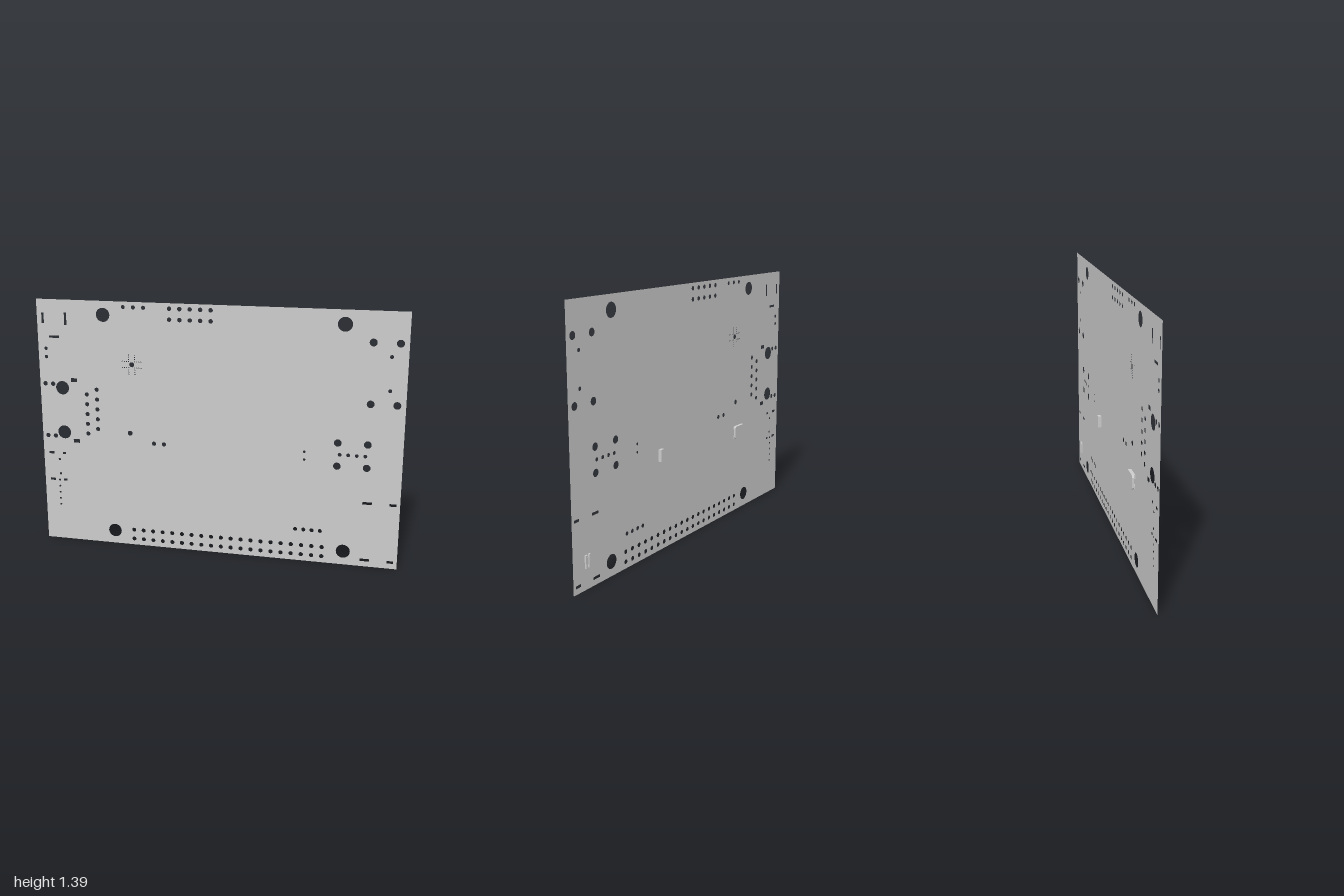
import * as THREE from 'three';

const W = 2, H = 1.39, FACE = 0.009; // board size and its z position

export function createModel() {
  const model = new THREE.Group();
  const grey = new THREE.MeshStandardMaterial({ color: 0xcccccc, flatShading: true });
  const sheet = new THREE.MeshStandardMaterial({ color: 0xcccccc, side: THREE.DoubleSide });

  // board outline
  const board = new THREE.Shape([
    new THREE.Vector2(-W / 2, 0), new THREE.Vector2(W / 2, 0),
    new THREE.Vector2(W / 2, H), new THREE.Vector2(-W / 2, H),
  ]);
  const hole = (x, y, r, n = 14) => {
    const pts = [];
    for (let i = 0; i < n; i++) {
      const a = -i * 2 * Math.PI / n;
      pts.push(new THREE.Vector2(x + r * Math.cos(a), y + r * Math.sin(a)));
    }
    board.holes.push(new THREE.Path(pts));
  };
  const slot = (x, y, w, h) => board.holes.push(new THREE.Path([
    new THREE.Vector2(x - w / 2, y - h / 2), new THREE.Vector2(x - w / 2, y + h / 2),
    new THREE.Vector2(x + w / 2, y + h / 2), new THREE.Vector2(x + w / 2, y - h / 2),
  ]));
  const row = (x, y, n, dx, dy, r) => {
    for (let i = 0; i < n; i++) hole(x + i * dx, y + i * dy, r);
  };

  // mounting holes
  [[-0.62, 1.315], [0.675, 1.315], [-0.588, 0.077], [0.71, 0.077], [-0.87, 0.9], [-0.87, 0.645]]
    .forEach(([x, y]) => hole(x, y, 0.038, 28));

  // connector anchor holes
  for (const x of [0.82, 0.955]) for (const y of [1.228, 0.906]) hole(x, y, 0.02, 20);
  for (const x of [0.66, 0.816]) for (const y of [0.687, 0.559]) hole(x, y, 0.02, 20);

  // pin header rows
  row(-0.475, 0.09, 20, 0.0563, 0, 0.012);
  row(-0.475, 0.036, 20, 0.0563, 0, 0.012);
  row(0.447, 0.183, 4, 0.045, 0, 0.011);
  row(-0.25, 1.361, 5, 0.0563, 0, 0.012);
  row(-0.25, 1.303, 5, 0.0563, 0, 0.012);
  row(-0.505, 1.361, 3, 0.0563, 0, 0.011);
  row(-0.729, 0.87, 5, 0, -0.0563, 0.012);
  row(-0.67, 0.9, 5, 0, -0.0563, 0.012);
  row(0.672, 0.623, 4, 0.0447, 0, 0.01);

  // single and paired pin holes
  for (const y of [0.92, 0.62]) row(-0.97, y, 2, 0.045, 0, 0.013);
  hole(-0.483, 0.663, 0.014);
  row(-0.347, 0.612, 2, 0.057, 0, 0.012);
  row(-0.956, 1.118, 2, 0, -0.046, 0.01);
  row(0.915, 1.158, 2, 0, -0.177, 0.01);
  row(0.485, 0.626, 2, 0, -0.043, 0.007);
  hole(-0.908, 0.481, 0.007);
  hole(-0.905, 0.396, 0.007);
  row(-0.913, 0.357, 5, 0, -0.037, 0.006);

  // slots
  slot(-0.967, 1.286, 0.013, 0.058);
  slot(-0.836, 1.286, 0.013, 0.07);
  slot(-0.905, 1.185, 0.058, 0.013);
  for (const y of [0.947, 0.597]) slot(-0.8, y, 0.036, 0.021);
  for (const y of [0.519, 0.36]) {
    slot(-0.954, y, 0.03, 0.014);
    slot(-0.878, y, 0.02, 0.012);
  }
  for (const y of [0.363, 0.037]) {
    slot(0.827, y, 0.05, 0.014);
    slot(0.963, y, 0.036, 0.014);
  }

  // crossed rows of fine vias round one thermal hole
  hole(-0.464, 1.05, 0.014);
  const steps = [0.017, 0.029, 0.041, 0.053];
  for (const sx of [-1, 1]) for (const sy of [-1, 1]) steps.forEach((t, i) => {
    hole(-0.464 + sx * 0.017, 1.05 + sy * t, 0.003, 6);
    if (i > 0) hole(-0.464 + sx * t, 1.05 + sy * 0.017, 0.003, 6);
  });

  const panel = new THREE.Mesh(new THREE.ShapeGeometry(board), sheet);
  panel.name = 'board';
  panel.position.z = FACE;
  model.add(panel);

  // box given by its x, y and z limits
  const block = (parent, name, x0, x1, y0, y1, z0, z1) => {
    const mesh = new THREE.Mesh(new THREE.BoxGeometry(x1 - x0, y1 - y0, z1 - z0), grey);
    mesh.position.set((x0 + x1) / 2, (y0 + y1) / 2, (z0 + z1) / 2);
    mesh.name = name;
    parent.add(mesh);
  };
  const part = (name) => {
    const g = new THREE.Group();
    g.name = name;
    model.add(g);
    return g;
  };

  // tall narrow component on the back
  block(part('narrowComponent'), 'narrowBody', 0.275, 0.302, 0.49, 0.555, -FACE, FACE);

  // wide component: chamfered body on two rails
  const wide = part('wideComponent');
  const [x0, x1, y0, y1, c] = [-0.56, -0.455, 0.445, 0.52, 0.01];
  const outline = new THREE.Shape([
    [x0 + c, y0], [x1 - c, y0], [x1, y0 + c], [x1, y1 - c],
    [x1 - c, y1], [x0 + c, y1], [x0, y1 - c], [x0, y0 + c],
  ].map(([x, y]) => new THREE.Vector2(x, y)));
  const body = new THREE.Mesh(
    new THREE.ExtrudeGeometry(outline, { depth: 0.01, bevelEnabled: false }), grey);
  body.name = 'wideBody';
  body.position.z = -FACE;
  wide.add(body);
  for (const y of [y0, y1 - 0.02]) block(wide, 'rail', x0 + c, x1 - c, y, y + 0.02, 0, FACE);

  // small component: two strips joined by a thin plate against the board
  const small = part('smallComponent');
  block(small, 'strip', 0.878, 0.89, 0.11, 0.177, 0, FACE);
  block(small, 'strip', 0.902, 0.914, 0.11, 0.177, 0, FACE);
  block(small, 'plate', 0.89, 0.902, 0.125, 0.162, 0.005, FACE);

  return model;
}
